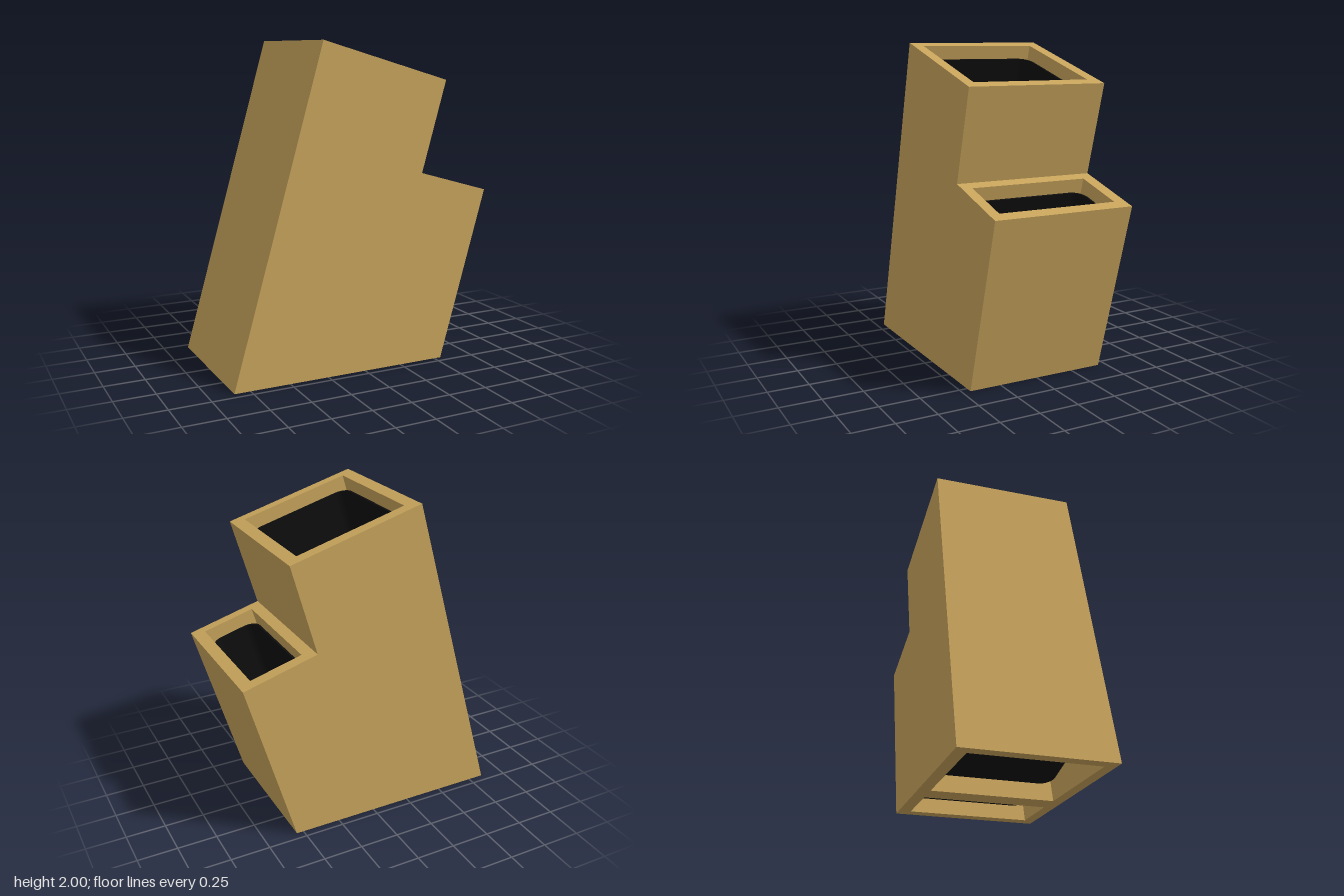
import * as THREE from 'three';

const TILT = Math.atan(0.57 / 2);
const SLOPE = Math.tan(TILT);
const TALL = 2.08, LOW = 1.495, SPLIT = 0.859, WIDTH = 1.342; // in the tilted frame
const BACK = -0.375, FRONT = 0.385; // z range of the compartments

const wood = new THREE.MeshStandardMaterial({ color: 0xc8a45c });
const black = new THREE.MeshStandardMaterial({ color: 0x0e0e0e });

// Rounded rectangle from (x0, y0) to (x1, y1)
function roundedRect(Type, x0, y0, x1, y1, r) {
  const s = new Type();
  s.absarc(x1 - r, y0 + r, r, -Math.PI / 2, 0);
  s.absarc(x1 - r, y1 - r, r, 0, Math.PI / 2);
  s.absarc(x0 + r, y1 - r, r, Math.PI / 2, Math.PI);
  s.absarc(x0 + r, y0 + r, r, Math.PI, Math.PI * 1.5);
  s.closePath();
  return s;
}

// Outline points extruded from z0 to z1
function slab(name, points, z0, z1) {
  const shape = new THREE.Shape(points.map(([x, y]) => new THREE.Vector2(x, y)));
  const geo = new THREE.ExtrudeGeometry(shape, { depth: z1 - z0, bevelEnabled: false });
  geo.translate(0, 0, z0);
  const mesh = new THREE.Mesh(geo, wood);
  mesh.name = name;
  return mesh;
}

// Shape in the x-z plane extruded upwards from y0 to y1
function prism(name, shape, y0, y1) {
  const geo = new THREE.ExtrudeGeometry(shape, { depth: y1 - y0, bevelEnabled: false, curveSegments: 10 });
  geo.rotateX(-Math.PI / 2).translate(0, y0, 0);
  const mesh = new THREE.Mesh(geo, black);
  mesh.name = name;
  return mesh;
}

// Open-topped liner with rounded corners and small floor studs
function liner(name, x0, x1, y0, y1, studs) {
  const g = new THREE.Group();
  g.name = name;
  const t = 0.012, r = 0.085, z0 = -FRONT + 0.004, z1 = -BACK - 0.004;
  const wall = roundedRect(THREE.Shape, x0, z0, x1, z1, r);
  wall.holes.push(roundedRect(THREE.Path, x0 + t, z0 + t, x1 - t, z1 - t, r - t));
  g.add(prism('linerWall', wall, y0, y1));
  g.add(prism('linerFloor', roundedRect(THREE.Shape, x0, z0, x1, z1, r), y0, y0 + 0.025));
  for (const x of studs) for (const z of [-0.185, 0.19]) {
    const stud = new THREE.Mesh(new THREE.CylinderGeometry(0.042, 0.042, 0.02, 20), black);
    stud.name = 'floorStud';
    stud.position.set(x, y0 + 0.03, z);
    g.add(stud);
  }
  return g;
}

export function createModel() {
  const model = new THREE.Group();
  model.name = 'leaningHolder';
  const body = new THREE.Group();
  body.name = 'tiltedBody';
  body.rotation.z = -TILT;
  body.position.x = -0.85;
  model.add(body);

  // Stepped side panels, cut level at the base
  const outline = [[0, 0], [WIDTH, WIDTH * SLOPE], [WIDTH, LOW], [SPLIT, LOW], [SPLIT, TALL], [0, TALL]];
  body.add(slab('frontPanel', outline, FRONT, 0.45));
  body.add(slab('backPanel', outline, -0.45, BACK));

  // Cross walls around the two open shafts
  const walls = [
    ['leaningWall', 0, 0.075, TALL],
    ['middleWall', 0.782, SPLIT, TALL],
    ['stepWall', SPLIT, 0.93, LOW],
    ['outerWall', 1.265, WIDTH, LOW],
  ];
  for (const [name, a, b, top] of walls) {
    body.add(slab(name, [[a, a * SLOPE], [b, b * SLOPE], [b, top], [a, top]], BACK, FRONT));
  }

  // Dark liners sunk below the rims
  body.add(liner('tallLiner', 0.079, 0.778, 0.335, TALL - 0.085, [0.25, 0.59]));
  body.add(liner('shortLiner', 0.934, 1.261, 0.46, LOW - 0.085, []));
  return model;
}
